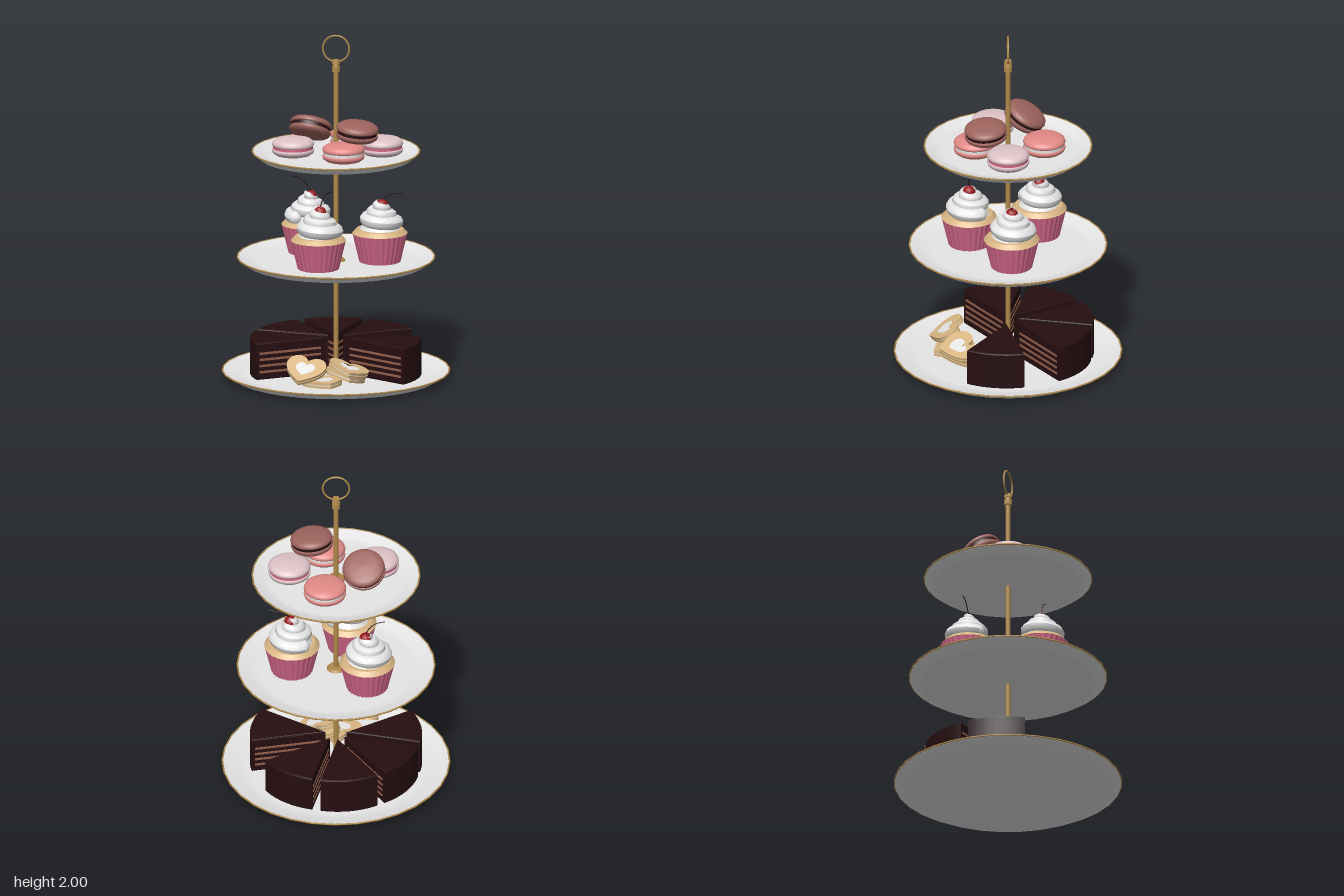
import * as THREE from 'three';

const mat = (name, color, side = THREE.FrontSide) => {
  const m = new THREE.MeshStandardMaterial({ color, side });
  m.name = name;
  return m;
};
const M = {
  white: mat('porcelain white', 0xe6e6e6),
  gold: mat('brass gold', 0xb08a4a),
  pink: mat('wrapper pink', 0xd4688a),
  coral: mat('coral', 0xe28a86),
  pale: mat('pale pink', 0xdfc4c8),
  brown: mat('cocoa brown', 0x9e645e),
  choc: mat('dark chocolate', 0x260e10),
  layer: mat('cream layer brown', 0x94604c),
  red: mat('cherry red', 0x9c1c20),
  tan: mat('biscuit', 0xd9b684),
};
const V2 = (a) => a.map(([x, y]) => new THREE.Vector2(x, y));

function add(parent, name, geo, material, x = 0, y = 0, z = 0) {
  const m = new THREE.Mesh(geo, material);
  m.name = name;
  m.position.set(x, y, z);
  parent.add(m);
  return m;
}
function group(parent, name, x = 0, y = 0, z = 0) {
  const g = new THREE.Group();
  g.name = name;
  g.position.set(x, y, z);
  parent.add(g);
  return g;
}

// Shallow plate with a brass rim and a hub around the pole
function plate(root, name, R, y) {
  const g = group(root, name, 0, y, 0);
  const profile = V2([[0, 0], [R * 0.85, 0], [R * 0.9, 0.006], [R - 0.006, 0.038], [R - 0.003, 0.045],
    [R - 0.012, 0.046], [R * 0.86, 0.025], [R * 0.78, 0.02], [0, 0.02]]);
  add(g, 'dish', new THREE.LatheGeometry(profile, 32), M.white);
  const rim = add(g, 'rim', new THREE.TorusGeometry(R - 0.004, 0.005, 6, 32), M.gold, 0, 0.044, 0);
  rim.rotation.x = Math.PI / 2;
  add(g, 'hub', new THREE.CylinderGeometry(0.045, 0.055, 0.014, 10), M.gold, 0, 0.027, 0);
}

// Macaron: two domed shells around a filling
function macaron(root, shell, filling, x, y, z, rx = 0, rz = 0) {
  const g = group(root, 'macaron', x, y, z);
  g.rotation.set(rx, 0, rz);
  const p = V2([[0.1, 0.007], [0.117, 0.009], [0.121, 0.018], [0.116, 0.032], [0.1, 0.044], [0.07, 0.052], [0, 0.056]]);
  const dome = new THREE.LatheGeometry(p, 32);
  add(g, 'topShell', dome, shell);
  add(g, 'bottomShell', dome, shell).rotation.x = Math.PI;
  add(g, 'filling', new THREE.CylinderGeometry(0.113, 0.113, 0.018, 32), filling);
}

// Piped icing: a tapering coil
class Coil extends THREE.Curve {
  getPoint(t, out = new THREE.Vector3()) {
    const a = t * Math.PI * 6.5, r = 0.1 * (1 - t) + 0.004;
    return out.set(r * Math.cos(a), 0.13 * t, r * Math.sin(a));
  }
}
function icingGeometry() {
  const curve = new Coil(), n = 110, radial = 10;
  const geo = new THREE.TubeGeometry(curve, n, 0.041, radial);
  const pos = geo.attributes.position, v = new THREE.Vector3();
  for (let i = 0; i <= n; i++) {
    const c = curve.getPointAt(i / n), s = 1 - 0.45 * c.y / 0.13;
    for (let j = 0; j <= radial; j++) {
      const k = i * (radial + 1) + j;
      v.fromBufferAttribute(pos, k).sub(c).multiplyScalar(s).add(c);
      pos.setXYZ(k, v.x, v.y, v.z);
    }
  }
  geo.computeVertexNormals();
  return geo;
}
function wrapperGeometry() {
  const n = 56, geo = new THREE.CylinderGeometry(0.157, 0.118, 0.165, n).toNonIndexed();
  const pos = geo.attributes.position;
  for (let i = 0; i < pos.count; i++) {
    const x = pos.getX(i), z = pos.getZ(i);
    const k = Math.round(Math.atan2(z, x) / (2 * Math.PI / n));
    const s = k % 2 ? 0.965 : 1;
    pos.setXYZ(i, x * s, pos.getY(i), z * s);
  }
  geo.computeVertexNormals();
  return geo;
}
function cupcake(root, wrapper, icing, x, z, spin, sx, sy) {
  const g = group(root, 'cupcake', x, 0.685, z);
  add(g, 'wrapper', wrapper, M.pink, 0, 0.0825, 0);
  add(g, 'spongeTop', new THREE.CylinderGeometry(0.135, 0.158, 0.024, 32), M.tan, 0, 0.177, 0);
  const swirl = group(g, 'icing', 0, 0.215, 0);
  swirl.rotation.y = spin;
  add(swirl, 'coil', icing, M.white);
  add(swirl, 'coilEnd', new THREE.SphereGeometry(0.041, 12, 8), M.white, 0.104, 0, 0);
  add(swirl, 'core', new THREE.ConeGeometry(0.115, 0.17, 20), M.white, 0, 0.06, 0);
  add(g, 'cherry', new THREE.SphereGeometry(0.036, 16, 12), M.red, 0.01, 0.325, 0);
  const stem = new THREE.QuadraticBezierCurve3(new THREE.Vector3(0.01, 0.35, 0),
    new THREE.Vector3(0.01 + sx * 0.25, 0.35 + sy * 0.95, 0), new THREE.Vector3(0.01 + sx, 0.35 + sy, 0));
  add(g, 'cherryStem', new THREE.TubeGeometry(stem, 10, 0.0028, 5), M.choc);
}

// Cake wedge with cream stripes on both cut faces
function cakeSlice(root, deg) {
  const half = Math.PI / 8, R = 0.43, spin = group(root, 'cakeSlice');
  spin.rotation.y = -deg * Math.PI / 180;
  const g = group(spin, 'wedge', 0.06, 0.025, 0);
  const s = new THREE.Shape();
  s.moveTo(0, 0);
  s.absarc(0, 0, R, -half, half, false);
  s.lineTo(0, 0);
  const body = new THREE.ExtrudeGeometry(s, {
    depth: 0.199, curveSegments: 10, bevelSize: 0.008, bevelOffset: -0.008, bevelThickness: 0.008, bevelSegments: 2,
  });
  body.rotateX(-Math.PI / 2);
  add(g, 'chocolateBody', body, M.choc, 0, 0.008, 0);
  const stripe = new THREE.BoxGeometry(0.38, 0.013, 0.006);
  for (const side of [-1, 1]) for (let i = 0; i < 4; i++) {
    const m = add(g, 'creamLayer', stripe, M.layer, 0.22 * Math.cos(half), 0.045 + i * 0.036, side * 0.22 * Math.sin(half));
    m.rotation.y = -side * half;
  }
}

// Heart biscuit with a heart-shaped icing window
function heart(path, k) {
  path.moveTo(0, -0.105 * k);
  path.bezierCurveTo(-0.05 * k, -0.07 * k, -0.125 * k, -0.02 * k, -0.115 * k, 0.045 * k);
  path.bezierCurveTo(-0.1 * k, 0.115 * k, -0.02 * k, 0.11 * k, 0, 0.06 * k);
  path.bezierCurveTo(0.02 * k, 0.11 * k, 0.1 * k, 0.115 * k, 0.115 * k, 0.045 * k);
  path.bezierCurveTo(0.125 * k, -0.02 * k, 0.05 * k, -0.07 * k, 0, -0.105 * k);
  return path;
}
function heartCookie(root, x, y, z, rx, ry, rz) {
  const g = group(root, 'heartCookie', x, y, z);
  g.rotation.set(rx, ry, rz);
  const lay = (shape, depth) => new THREE.ExtrudeGeometry(shape, { depth, bevelEnabled: false, curveSegments: 8 }).rotateX(-Math.PI / 2);
  const top = heart(new THREE.Shape(), 1);
  top.holes.push(heart(new THREE.Path(), 0.48));
  add(g, 'baseBiscuit', lay(heart(new THREE.Shape(), 1), 0.014), M.tan, 0, -0.016, 0);
  add(g, 'icingLayer', lay(heart(new THREE.Shape(), 0.94), 0.006), M.white, 0, -0.002, 0);
  add(g, 'topBiscuit', lay(top, 0.014), M.tan, 0, 0.003, 0);
}

export function createModel() {
  const root = new THREE.Group();
  root.name = 'tieredCakeStand';

  // Stand
  plate(root, 'bottomPlate', 0.65, 0.003);
  plate(root, 'middlePlate', 0.565, 0.663);
  plate(root, 'topPlate', 0.48, 1.278);
  add(root, 'pole', new THREE.CylinderGeometry(0.014, 0.014, 1.8, 12), M.gold, 0, 0.91, 0);
  add(root, 'lowerCollar', new THREE.CylinderGeometry(0.024, 0.024, 0.03, 12), M.gold, 0, 1.8, 0);
  add(root, 'finialNeck', new THREE.CylinderGeometry(0.015, 0.02, 0.02, 12), M.gold, 0, 1.822, 0);
  add(root, 'upperCollar', new THREE.CylinderGeometry(0.02, 0.024, 0.024, 12), M.gold, 0, 1.842, 0);
  add(root, 'handleRing', new THREE.TorusGeometry(0.076, 0.0055, 8, 32), M.gold, 0, 1.9185, 0);

  // Top tier
  macaron(root, M.coral, M.white, 0.06, 1.357, -0.205);
  macaron(root, M.pale, M.pink, 0.265, 1.361, 0.005);
  macaron(root, M.pale, M.pink, -0.235, 1.357, 0.08);
  macaron(root, M.coral, M.white, 0.07, 1.357, 0.19);
  macaron(root, M.brown, M.choc, -0.16, 1.43, -0.1, -0.52, -0.12);
  macaron(root, M.brown, M.choc, 0.14, 1.468, 0.13, 0.06, -0.1);

  // Middle tier
  const wrapper = wrapperGeometry(), icing = icingGeometry();
  cupcake(root, wrapper, icing, -0.07, 0.22, 0.6, 0.07, 0.1);
  cupcake(root, wrapper, icing, 0.25, -0.015, 2.2, 0.12, 0.05);
  cupcake(root, wrapper, icing, -0.18, -0.18, 4, -0.11, 0.09);

  // Bottom tier
  for (const deg of [10, -55, -100, -145, -190]) cakeSlice(root, deg);
  heartCookie(root, -0.13, 0.115, 0.35, 0.55, -0.25, 0);
  heartCookie(root, -0.02, 0.045, 0.33, 0, 0.5, 0);
  heartCookie(root, 0.1, 0.075, 0.27, 0, 0.3, -0.28);
  heartCookie(root, 0.115, 0.115, 0.29, 0.08, 0.15, -0.33);
  return root;
}
